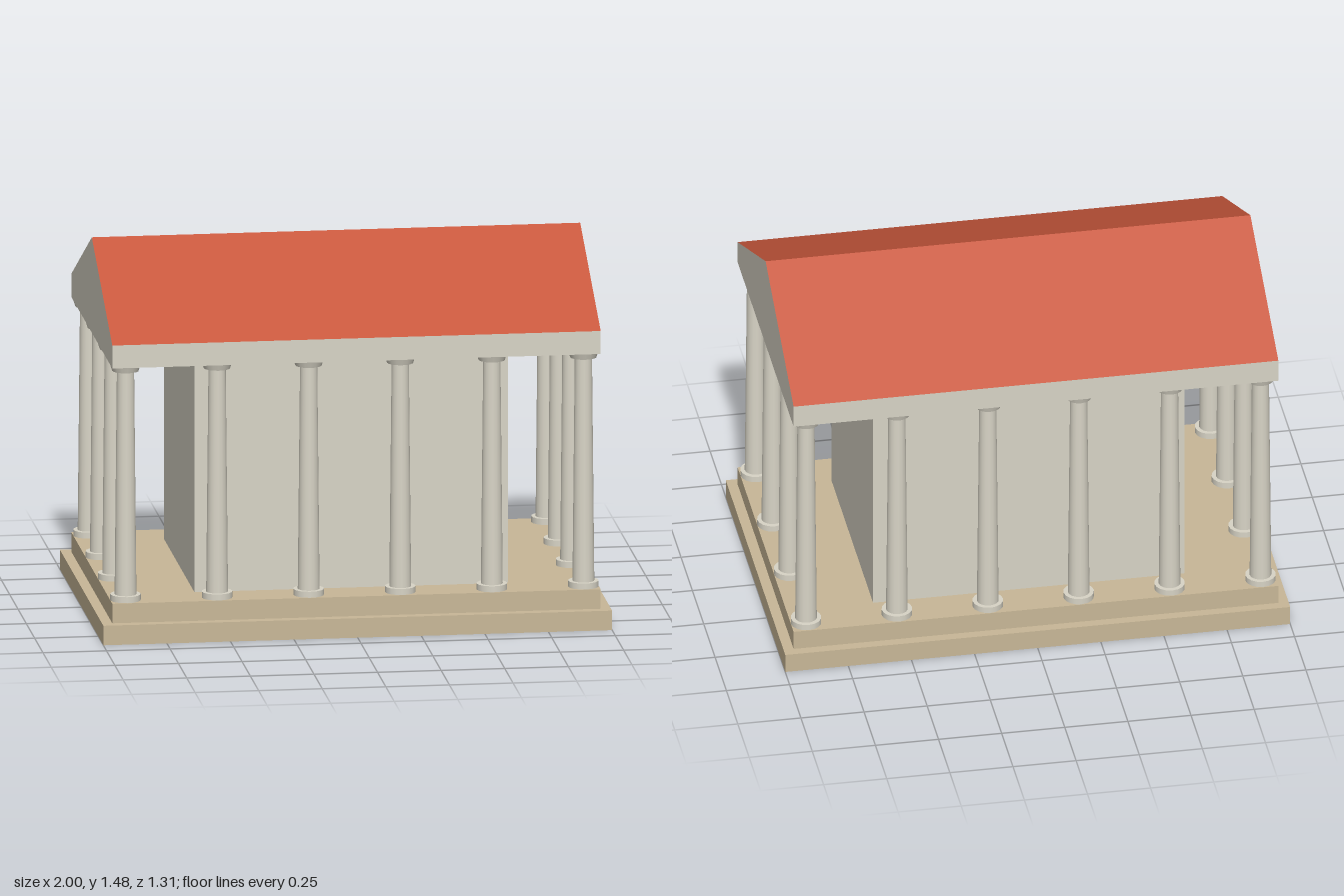
import * as THREE from 'three';

export function createModel() {
  const temple = new THREE.Group();
  temple.name = 'temple';

  const material = (name, color) => {
    const m = new THREE.MeshStandardMaterial({ color });
    m.name = name;
    return m;
  };
  const stone = material('pale stone', 0xd8d4c6);
  const sandstone = material('sandstone', 0xc8b797);
  const tile = material('terracotta', 0xc8573c);

  const add = (parent, name, geometry, mat, x = 0, y = 0, z = 0) => {
    const mesh = new THREE.Mesh(geometry, mat);
    mesh.name = name;
    mesh.position.set(x, y, z);
    parent.add(mesh);
    return mesh;
  };
  // Box given by its bottom and top heights
  const block = (name, mat, width, depth, y0, y1) =>
    add(temple, name, new THREE.BoxGeometry(width, y1 - y0, depth), mat, 0, (y0 + y1) / 2, 0);

  const floorY = 0.156, beamY = 1.098, eaveY = 1.19, ridgeY = 1.48;
  const length = 1.92, depth = 1.234;

  // Stepped platform, inner chamber and beam
  block('lowerStep', sandstone, 2, 1.31, 0, 0.078);
  block('upperStep', sandstone, length, depth, 0.078, floorY);
  block('innerChamber', stone, 1.234, 0.92, floorY, beamY);
  block('entablature', stone, length, depth, beamY, eaveY);

  // Columns: a tapered shaft between a round base and capital
  const baseH = 0.024, capH = 0.024;
  const shaftH = beamY - floorY - baseH - capH;
  const baseGeometry = new THREE.CylinderGeometry(0.06, 0.06, baseH, 16);
  const shaftGeometry = new THREE.CylinderGeometry(0.034, 0.043, shaftH, 16, 1, true);
  const capitalGeometry = new THREE.CylinderGeometry(0.06, 0.052, capH, 16);
  const addColumn = (x, z) => {
    const column = new THREE.Group();
    column.name = 'column';
    column.position.set(x, floorY, z);
    add(column, 'columnBase', baseGeometry, stone, 0, baseH / 2, 0);
    add(column, 'columnShaft', shaftGeometry, stone, 0, baseH + shaftH / 2, 0);
    add(column, 'columnCapital', capitalGeometry, stone, 0, baseH + shaftH + capH / 2, 0);
    temple.add(column);
  };
  const columnX = 0.9, columnZ = 0.555;
  for (let i = 0; i < 6; i++) {
    for (const side of [-1, 1]) addColumn(-columnX + i * 0.36, side * columnZ);
  }
  for (const z of [-columnZ / 3, columnZ / 3]) {
    for (const side of [-1, 1]) addColumn(side * columnX, z);
  }

  // Triangular gables at both ends
  const gable = new THREE.Shape([
    new THREE.Vector2(-depth / 2, eaveY),
    new THREE.Vector2(depth / 2, eaveY),
    new THREE.Vector2(0, ridgeY),
  ]);
  const gableGeometry = new THREE.ShapeGeometry(gable);
  for (const side of [-1, 1]) {
    add(temple, 'gable', gableGeometry, stone, side * length / 2).rotation.y = side * Math.PI / 2;
  }

  // Two tiled roof slopes meeting at the ridge
  const rise = ridgeY - eaveY;
  const slopeGeometry = new THREE.PlaneGeometry(length, Math.hypot(depth / 2, rise));
  slopeGeometry.rotateX(-Math.atan2(depth / 2, rise));
  for (const side of [-1, 1]) {
    const slope = add(temple, 'roofSlope', slopeGeometry, tile, 0, (eaveY + ridgeY) / 2, side * depth / 4);
    slope.rotation.y = side > 0 ? 0 : Math.PI;
  }

  return temple;
}
